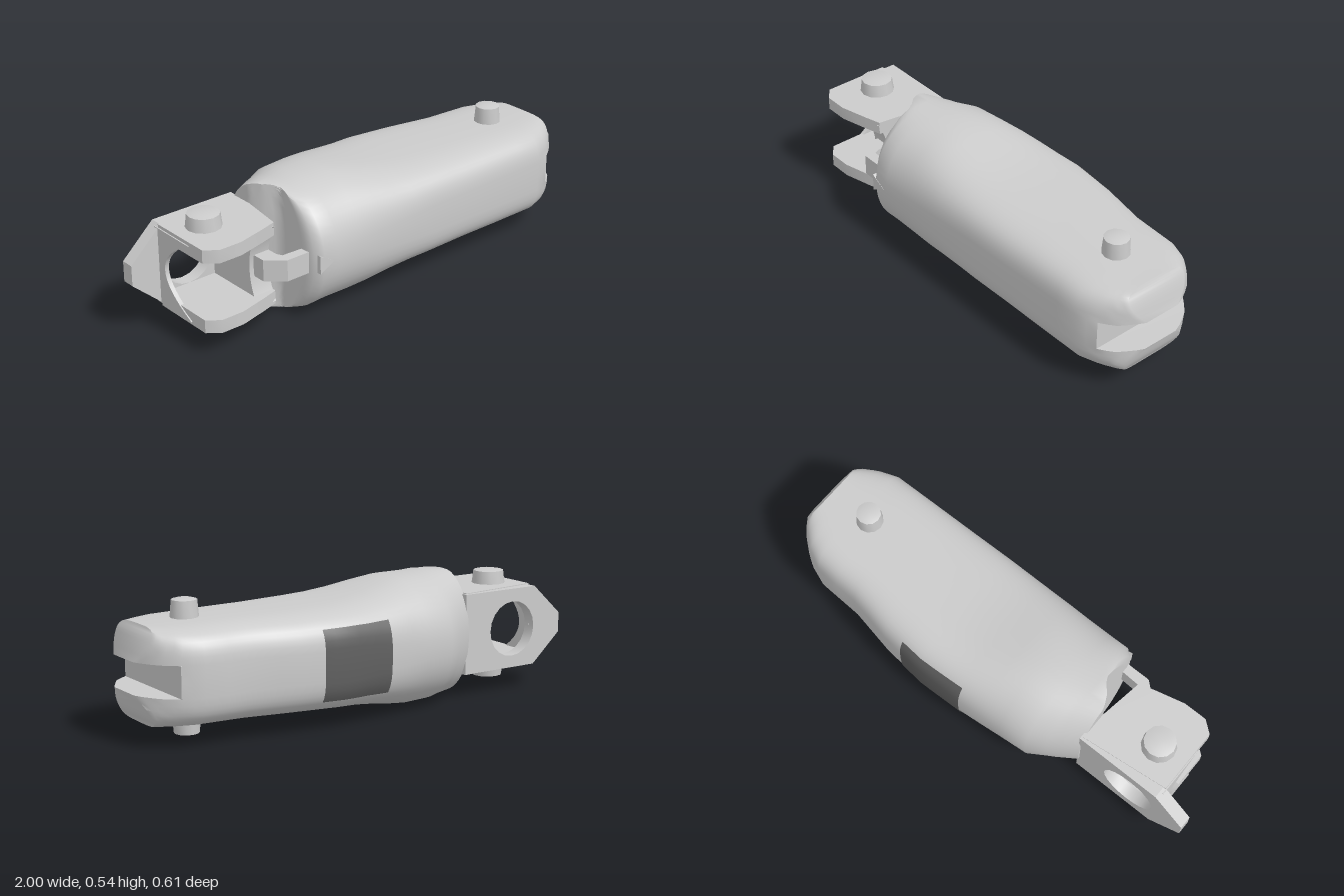
import * as THREE from 'three';
import { mergeGeometries, toCreasedNormals } from 'three/addons/utils/BufferGeometryUtils.js';

const MID = 0.268; // height of the long axis
const SLOT = 0.33; // half height of the nose slot, as a share of the nose
const NOSE_POWER = 4;
const grey = new THREE.MeshStandardMaterial({ color: 0xcccccc, side: THREE.DoubleSide });
const dark = new THREE.MeshStandardMaterial({ color: 0x606060, side: THREE.DoubleSide });

// Linear interpolation in a short list of [x, value] pairs
function lerpTable(table, x) {
  if (x <= table[0][0]) return table[0][1];
  for (let i = 1; i < table.length; i++) {
    const [x0, a] = table[i - 1], [x1, b] = table[i];
    if (x <= x1) return a + (b - a) * (x - x0) / (x1 - x0);
  }
  return table[table.length - 1][1];
}

// Grid of quads; fn(i, j) gives the point [x, y, z]
function grid(ni, nj, fn) {
  const pos = [], idx = [];
  for (let i = 0; i <= ni; i++) for (let j = 0; j <= nj; j++) pos.push(...fn(i, j));
  for (let i = 0; i < ni; i++) for (let j = 0; j < nj; j++) {
    const a = i * (nj + 1) + j, b = a + 1, d = a + nj + 1, c = d + 1;
    idx.push(a, b, c, a, c, d);
  }
  const g = new THREE.BufferGeometry();
  g.setAttribute('position', new THREE.Float32BufferAttribute(pos, 3));
  g.setIndex(idx);
  return g;
}

// Casing measures along x: half height, back and front depth, squareness
const halfHeight = [[-0.5, 0.267], [-0.2, 0.267], [-0.1, 0.25], [0, 0.23], [0.1, 0.215], [0.2, 0.207], [0.4, 0.2], [0.9, 0.192]];
const backZ = [[-0.5, -0.16], [-0.43, -0.21], [-0.32, -0.28], [-0.2, -0.29], [0, -0.306], [0.2, -0.31], [0.4, -0.29],
  [0.6, -0.25], [0.8, -0.24], [0.88, -0.21], [0.94, -0.16], [0.98, -0.1], [1, -0.05]];
const frontZ = [[-0.5, 0.24], [-0.43, 0.26], [-0.4, 0.3], [0.2, 0.29], [0.8, 0.28], [0.88, 0.25], [0.94, 0.21], [0.98, 0.15], [1, 0.11]];
const squareness = [[-0.5, 2.1], [-0.2, 2.3], [0, 2.9], [0.2, 3.6], [0.8, NOSE_POWER]];

// Point of the casing at x, angle a (-90 to 90 degrees) and side (-1 back, 1 front)
function skin(x, a, side, out = 0) {
  const e = 2 / lerpTable(squareness, x);
  const v = Math.sign(a) * Math.abs(Math.sin(a)) ** e;
  const s = Math.max(0, Math.cos(a)) ** e;
  const z0 = lerpTable(backZ, x), z1 = lerpTable(frontZ, x);
  return [x, MID + v * lerpTable(halfHeight, x), (z0 + z1) / 2 + side * (s * (z1 - z0) / 2 + out)];
}

function casingGeometry() {
  // Rows with a tight pair at each edge of the slot
  const edge = Math.asin(SLOT ** (NOSE_POWER / 2));
  const angles = [edge * 0.99, edge];
  for (let k = 1; k <= 12; k++) angles.push(edge + (Math.PI / 2 - edge) * k / 12);
  const rows = [...angles.map((a) => -a).reverse(), 0, ...angles];
  const n = rows.length - 1;
  const ring = [...rows.map((a) => [a, -1]), ...rows.slice().reverse().map((a) => [a, 1])];

  const stations = [-0.5, -0.42, -0.39, -0.32, -0.2, -0.1, 0, 0.1, 0.2, 0.3, 0.4, 0.5, 0.6, 0.7, 0.8];
  const nose = [0.22, 0.43, 0.58, 0.72, 0.83, 0.93, 1];
  const last = stations.length + nose.length - 1;
  // Lips lean out from the top and bottom towards the slot
  const noseX = (a, k) => {
    const v = Math.abs(Math.sin(a)) ** (2 / NOSE_POWER);
    const lip = 1 - 0.06 * Math.max(0, v - SLOT) / (1 - SLOT);
    const x = 0.8 + (lip - 0.8) * k;
    return Math.abs(a) < edge * 0.995 ? Math.min(x, 0.885) : x;
  };
  // Front of the open end is set back behind the rear half
  const stepX = (z) => lerpTable([[-0.02, -0.5], [0.03, -0.475], [0.08, -0.43]], z);
  const point = (i, a, side) => {
    if (i >= stations.length) return skin(noseX(a, nose[i - stations.length]), a, side);
    const p = skin(stations[i], a, side);
    if (i === 0) p[0] = stepX(p[2]);
    return p;
  };
  const wall = grid(last, ring.length - 1, (i, j) => point(i, ...ring[j]));
  const slotEnd = grid(1, n, (i, j) => point(last, rows[j], i ? 1 : -1));
  const stepEnd = grid(16, n, (i, j) => {
    const f = point(0, rows[j], 1), b = point(0, rows[j], -1);
    const z = f[2] + (b[2] - f[2]) * i / 16;
    return [stepX(z), b[1], z];
  });
  return toCreasedNormals(mergeGeometries([wall, slotEnd, stepEnd]), 0.75);
}

// Flat outline extruded along z, optionally with a round hole
function plate(points, depth, hole) {
  const shape = new THREE.Shape(points.map(([x, y]) => new THREE.Vector2(x, y)));
  if (hole) shape.holes.push(new THREE.Path().absarc(...hole, 0, Math.PI * 2, true));
  const g = new THREE.ExtrudeGeometry(shape, { depth, bevelEnabled: false, curveSegments: 10 });
  return toCreasedNormals(g, 0.7);
}

// Upright web between the fork plates with a hollowed front edge
function web(x, width, zMid, zTip) {
  const pts = [[0.12, 0.11], [0.12, 0.43]];
  for (let k = 8; k >= -8; k--) {
    const t = k / 8;
    pts.push([-(zMid + (zTip - zMid) * t * t), MID + 0.16 * t]);
  }
  return plate(pts, width).rotateY(Math.PI / 2).translate(x, 0, 0);
}

export function createModel() {
  const model = new THREE.Group();
  const add = (name, geometry, parent = model, material = grey) => {
    const mesh = new THREE.Mesh(geometry, material);
    mesh.name = name;
    parent.add(mesh);
    return mesh;
  };

  add('casing', casingGeometry());

  // Dark panel lying on the back of the casing
  const panel = grid(6, 8, (i, j) => skin(0.31 * i / 6, -0.55 + 1.1 * j / 8, -1, 0.003));
  panel.computeVertexNormals();
  add('backPanel', panel, model, dark);

  // Pins above and below, with softened tips
  const pin = (name, x, z, r, from, to, parent) => {
    const len = to - from;
    const profile = [[r * 1.1, 0], [r, len * 0.6], [r * 0.95, len - 0.006], [r * 0.6, len - 0.001], [0, len]];
    for (const s of [1, -1]) {
      const g = new THREE.LatheGeometry(profile.map(([a, b]) => new THREE.Vector2(a, b)), 12);
      const m = add((s > 0 ? 'upper' : 'lower') + name, toCreasedNormals(g, 0.7), parent);
      if (s < 0) m.rotation.x = Math.PI;
      m.position.set(x, MID + s * from, z);
    }
  };
  pin('CasingPin', 0.74, 0.025, 0.053, 0.17, 0.268, model);

  // Joint fork
  const joint = new THREE.Group();
  joint.name = 'joint';
  model.add(joint);
  pin('JointPin', -0.745, 0.02, 0.068, 0.15, 0.235, joint);

  // Pointed back wall around the round eye
  const outline = [[-1, 0.225], [-0.86, 0.1], [-0.49, 0.1], [-0.49, 0.44], [-0.86, 0.44], [-1, 0.31]];
  add('backWall', plate(outline, 0.055, [-0.74, MID, 0.118]).translate(0, 0, -0.152), joint);

  // Webs on both sides of the eye
  add('outerWeb', web(-0.875, 0.018, -0.06, 0.1), joint);
  add('innerWeb', web(-0.62, 0.09, 0.13, 0.175), joint);

  // Upper and lower fork plates
  const plan = [[-0.87, -0.1], [-0.5, -0.14], [-0.5, -0.02], [-0.53, 0.17], [-0.6, 0.19], [-0.72, 0.22], [-0.82, 0.22], [-0.87, 0.18]];
  for (const [name, top] of [['upperPlate', 0.443], ['lowerPlate', 0.15]]) {
    add(name, plate(plan, 0.055).rotateX(Math.PI / 2).translate(0, top, 0), joint);
  }

  // Link from the inner web to the casing, ending in a small point
  const linkPlan = [[-0.6, 0.12], [-0.53, 0.12], [-0.53, 0.18], [-0.52, 0.205], [-0.42, 0.21], [-0.42, 0.25], [-0.53, 0.25], [-0.6, 0.19]];
  add('link', plate(linkPlan, 0.09).rotateX(Math.PI / 2).translate(0, MID + 0.045, 0), joint);
  add('linkPoint', plate([[-0.41, 0.23], [-0.34, MID], [-0.41, 0.306]], 0.055).translate(0, 0, 0.245), joint);

  return model;
}
